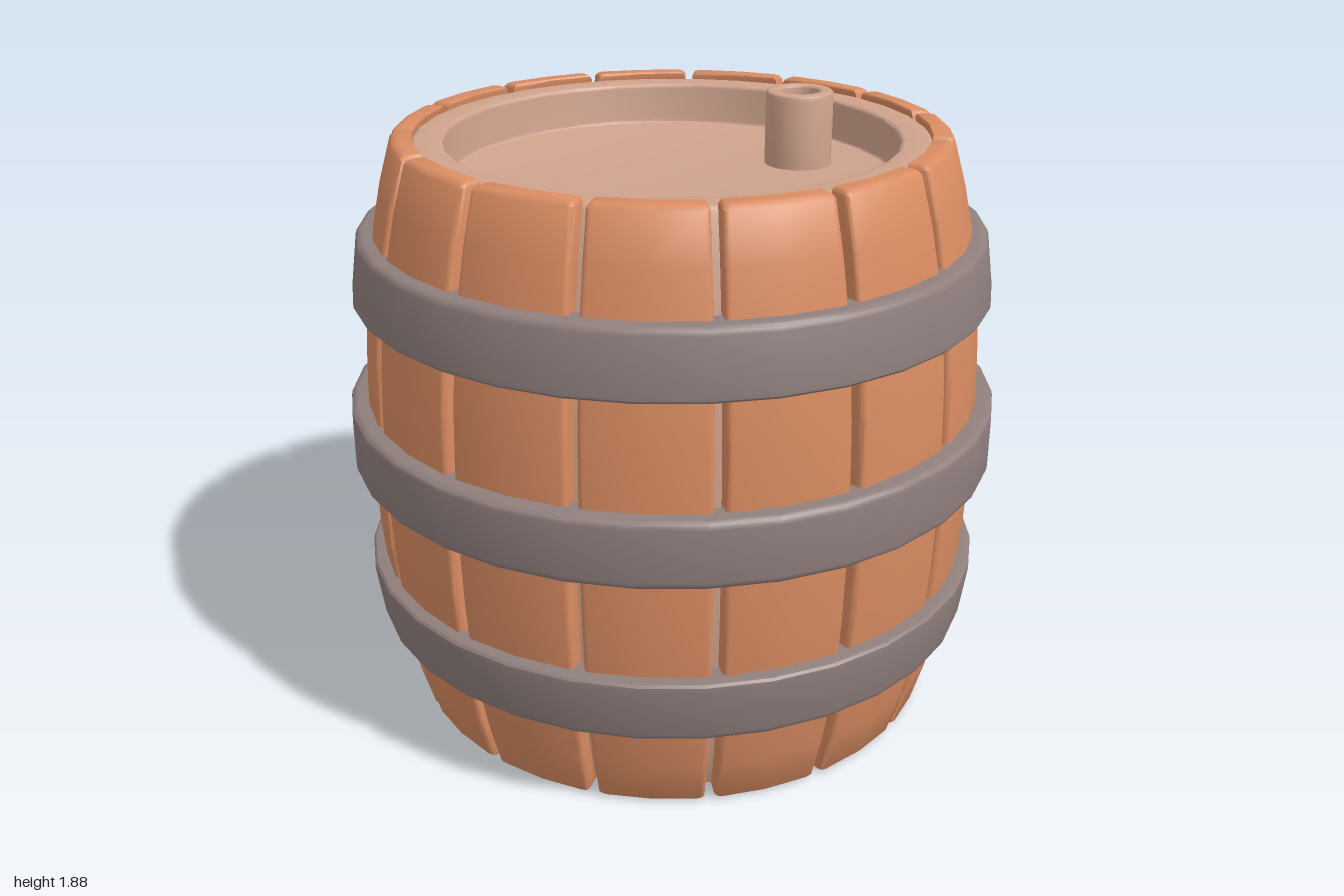
import * as THREE from 'three';
import { toCreasedNormals } from 'three/addons/utils/BufferGeometryUtils.js';

const WOOD = new THREE.MeshStandardMaterial({ color: 0xd98c62 });
const PALE = new THREE.MeshStandardMaterial({ color: 0xcfa38d });
const IRON = new THREE.MeshStandardMaterial({ color: 0x8f7f7d });

const H = 1.81;
const STAVES = 15;
const PITCH = (Math.PI * 2) / STAVES;
const CREASE = 0.6;

// Outer stave radius at height y
const bulge = (y) => 0.945 - 0.12 * Math.pow(Math.abs(y / (H / 2) - 1), 2.5);

// Round the corners of a path; each point is [x, y, radius]
function roundPath(points, closed) {
  const out = [];
  const n = points.length;
  points.forEach(([x, y, r], i) => {
    const p = new THREE.Vector2(x, y);
    if (!r || (!closed && (i === 0 || i === n - 1))) { out.push(p); return; }
    const toward = (q) => new THREE.Vector2(q[0], q[1]).sub(p).setLength(r).add(p);
    const curve = new THREE.QuadraticBezierCurve(
      toward(points[(i + n - 1) % n]), p, toward(points[(i + 1) % n]));
    out.push(...curve.getPoints(3));
  });
  if (closed) out.push(out[0].clone());
  return out;
}

function lathe(name, path, closed, segments, material) {
  const geo = new THREE.LatheGeometry(roundPath(path, closed), segments);
  const mesh = new THREE.Mesh(toCreasedNormals(geo, CREASE), material);
  mesh.name = name;
  return mesh;
}

// One bowed plank: rounded cross-sections stacked along the height, capped at both ends
function staveGeometry() {
  const rows = [[0, 0.014], [0.004, 0.006], [0.014, 0]];
  for (let i = 1; i < 12; i++) rows.push([(H * i) / 12, 0]);
  rows.push([H - 0.014, 0], [H - 0.004, 0.006], [H, 0.014]);
  const pos = [], index = [];
  let n = 0;
  rows.forEach(([y, inset]) => {
    const R = bulge(y);
    const half = R * PITCH / 2 - 0.014 - inset;
    const back = -0.065 + inset * 0.5;
    const section = roundPath([
      [-half, -inset, 0.018], [-half, back, 0], [0, back, 0],
      [half, back, 0], [half, -inset, 0.018], [0, -inset, 0],
    ], true).slice(0, -1);
    n = section.length;
    section.forEach((p) => {
      const a = p.x / R, r = R + p.y;
      pos.push(r * Math.sin(a), y, r * Math.cos(a));
    });
  });
  const last = rows.length - 1;
  for (let j = 0; j < last; j++) {
    for (let i = 0; i < n; i++) {
      const k = (i + 1) % n;
      const a = j * n + i, b = j * n + k, c = a + n, d = b + n;
      index.push(a, c, b, b, c, d);
    }
  }
  // End caps
  const c0 = pos.length / 3;
  pos.push(0, 0, bulge(0) - 0.03, 0, H, bulge(H) - 0.03);
  for (let i = 0; i < n; i++) {
    const k = (i + 1) % n;
    index.push(c0, i, k, c0 + 1, last * n + k, last * n + i);
  }
  const geo = new THREE.BufferGeometry();
  geo.setAttribute('position', new THREE.Float32BufferAttribute(pos, 3));
  geo.setIndex(index);
  return toCreasedNormals(geo, CREASE);
}

export function createModel() {
  const barrel = new THREE.Group();
  barrel.name = 'barrel';

  // Ring of staves, one centred on the front
  const staves = new THREE.Group();
  staves.name = 'staves';
  const plank = staveGeometry();
  for (let i = 0; i < STAVES; i++) {
    const stave = new THREE.Mesh(plank, WOOD);
    stave.name = 'stave';
    stave.rotation.y = i * PITCH;
    staves.add(stave);
  }
  barrel.add(staves);

  // Inner body showing in the gaps, with a flat base and a recessed lid
  const body = [[0, 0.01, 0], [bulge(0) - 0.06, 0.01, 0.012]];
  for (let i = 1; i < 12; i++) {
    const y = (H * i) / 12;
    body.push([bulge(y) - 0.06, y, 0]);
  }
  body.push([0.768, 1.79, 0.012], [0.675, 1.79, 0.014], [0.675, 1.66, 0.01], [0, 1.66, 0]);
  barrel.add(lathe('innerBody', body, false, 32, PALE));

  // Iron hoops: [bottom y, top y, bottom radius, top radius]
  [['lowerHoop', 0.295, 0.495, 0.945, 0.973],
    ['middleHoop', 0.81, 1.01, 1, 1],
    ['upperHoop', 1.33, 1.53, 0.973, 0.945]].forEach(([name, y0, y1, r0, r1]) => {
    const t = 0.085;
    barrel.add(lathe(name, [
      [r0 - t, y0, 0], [r0, y0, 0.022], [r1, y1, 0.022], [r1 - t, y1, 0],
    ], true, 32, IRON));
  });

  // Hollow bung pipe standing on the lid
  const pipe = lathe('bungPipe', [
    [0.103, 1.65, 0], [0.103, 1.885, 0.014], [0.06, 1.885, 0.01], [0.06, 1.665, 0], [0, 1.665, 0],
  ], false, 24, PALE);
  pipe.position.set(0.268, 0, -0.322);
  barrel.add(pipe);

  return barrel;
}
